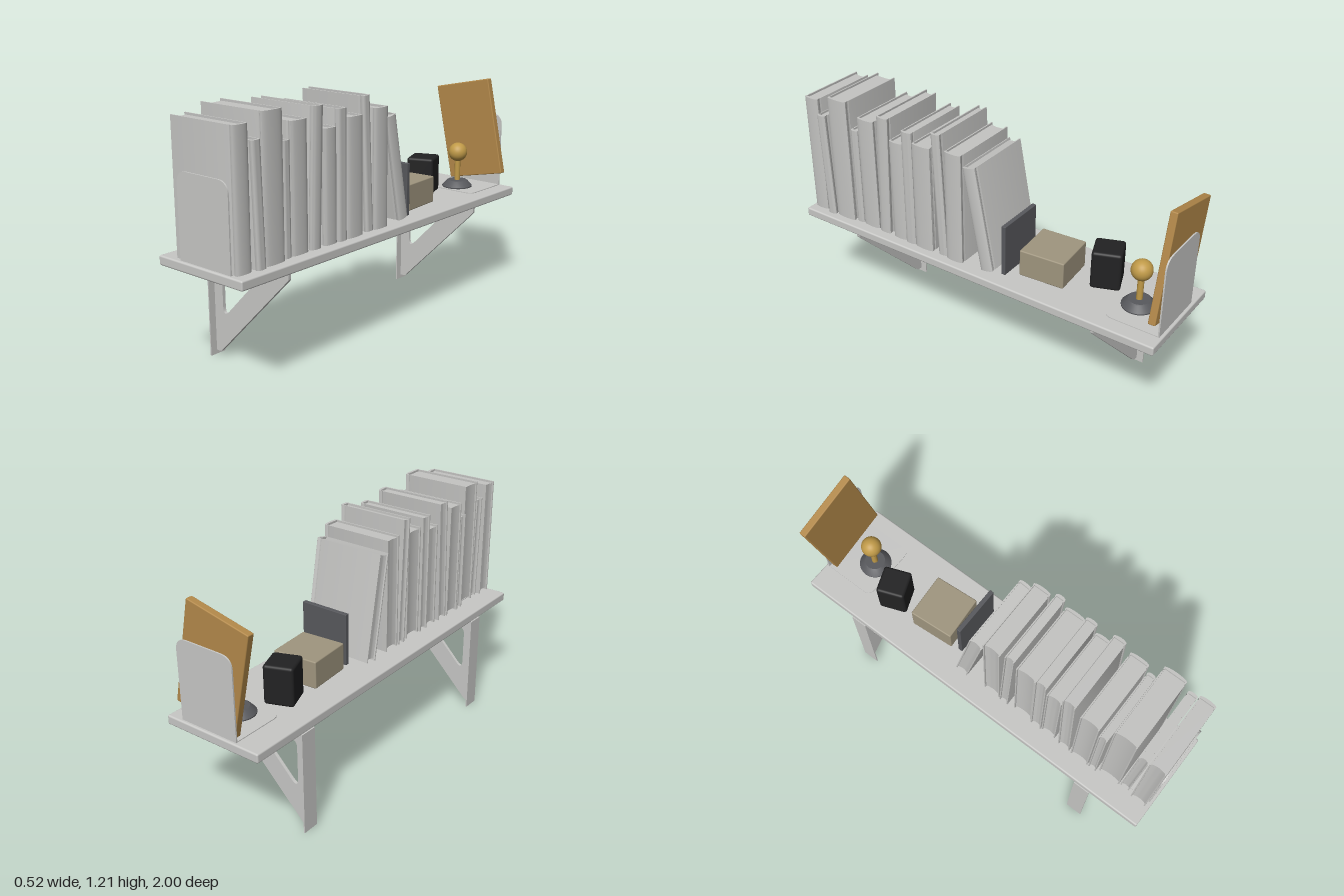
import * as THREE from 'three';
import { toCreasedNormals } from 'three/addons/utils/BufferGeometryUtils.js';
import { RoundedBoxGeometry } from 'three/addons/geometries/RoundedBoxGeometry.js';

const mat = (name, color) => Object.assign(new THREE.MeshStandardMaterial({ color }), { name });

// Traces a polygon of [x, y, cornerRadius] points with rounded corners
function roundedPoly(points, path = new THREE.Shape()) {
  const n = points.length;
  points.forEach(([x, y, r = 0], i) => {
    const p = new THREE.Vector2(x, y);
    const toward = ([qx, qy]) => new THREE.Vector2(qx, qy).sub(p).setLength(r).add(p);
    const a = toward(points[(i + n - 1) % n]);
    const b = toward(points[(i + 1) % n]);
    if (i === 0) path.moveTo(a.x, a.y); else path.lineTo(a.x, a.y);
    if (r > 0) path.quadraticCurveTo(x, y, b.x, b.y);
  });
  path.closePath();
  return path;
}

function extrude(shape, depth) {
  const geo = new THREE.ExtrudeGeometry(shape, { depth, bevelEnabled: false, curveSegments: 8 });
  return toCreasedNormals(geo, 0.6);
}

export function createModel() {
  const model = new THREE.Group();
  model.name = 'bookshelf';
  const shelfGrey = mat('shelf grey', 0xc8c8c6);
  const bookGrey = mat('book grey', 0xc4c4c2);
  const darkGrey = mat('dark grey', 0x58595d);
  const black = mat('black', 0x222223);
  const wood = mat('wood', 0xb3894a);
  const brass = mat('brass', 0xc09a48);
  const beige = mat('beige', 0xa0967f);

  function add(parent, name, geo, material, x = 0, y = 0, z = 0) {
    const mesh = new THREE.Mesh(geo, material);
    mesh.name = name;
    mesh.position.set(x, y, z);
    parent.add(mesh);
    return mesh;
  }
  function group(name) {
    const g = new THREE.Group();
    g.name = name;
    model.add(g);
    return g;
  }

  // Board
  add(model, 'shelfBoard', new RoundedBoxGeometry(0.516, 0.045, 2, 2, 0.008), shelfGrey, 0.001, 0.5325, 0);

  // Triangular brackets: wall plate, top plate, pierced web, screws
  const web = roundedPoly([[-0.256, 0.02], [-0.225, 0.02, 0.01], [0.22, 0.468, 0.005], [0.22, 0.507], [-0.256, 0.507]]);
  web.holes.push(roundedPoly([[-0.2, 0.445, 0.035], [0.05, 0.445, 0.06], [-0.2, 0.19, 0.06]], new THREE.Path()));
  const webGeo = extrude(web, 0.016);
  const screwGeo = new THREE.SphereGeometry(0.01, 12, 6, 0, Math.PI * 2, 0, Math.PI / 2).scale(1, 0.7, 1);
  for (const z of [0.692, -0.684]) {
    const bracket = group('bracket');
    bracket.position.z = z;
    add(bracket, 'wallPlate', new THREE.BoxGeometry(0.006, 0.51, 0.085), shelfGrey, -0.257, 0.255, 0);
    add(bracket, 'topPlate', new THREE.BoxGeometry(0.488, 0.006, 0.085), shelfGrey, -0.016, 0.507, 0);
    add(bracket, 'web', webGeo, shelfGrey, 0, 0, -0.008);
    for (const [y, dz] of [[0.405, 0.026], [0.075, -0.025]])
      add(bracket, 'wallScrew', screwGeo, shelfGrey, -0.254, y, dz).rotation.z = -Math.PI / 2;
    for (const [x, dz] of [[0.165, 0.026], [-0.15, -0.025]])
      add(bracket, 'topScrew', screwGeo, shelfGrey, x, 0.504, dz).rotation.x = Math.PI;
  }

  // Bookends: upright plate and foot, mirrored at both ends of the board
  const uprightGeo = extrude(roundedPoly([[-0.13, 0.555], [0.18, 0.555], [0.18, 0.945, 0.06], [-0.13, 0.945, 0.06]]), 0.007);
  const footShape = (s) => roundedPoly([[-0.13, -s * 0.985], [0.18, -s * 0.985], [0.18, -s * 0.715, 0.04], [-0.13, -s * 0.715, 0.04]]);
  for (const s of [1, -1]) {
    const bookend = group('bookend');
    add(bookend, 'upright', uprightGeo, shelfGrey, 0, 0, s > 0 ? 0.979 : -0.986);
    add(bookend, 'foot', extrude(footShape(s), 0.004).rotateX(-Math.PI / 2), shelfGrey, 0, 0.555, 0);
  }

  // Book: wrapped cover with rounded spine and hinge grooves, inset page block
  function addBook(z, thick, top, x0, x1, lean) {
    const book = group('book');
    const h = (top - 0.558) / Math.cos(lean) - Math.abs(Math.tan(lean)) * thick * 0.5;
    const w = x1 - x0, t = thick / 2, c = 0.006, in_ = t - c;
    const cover = new THREE.Shape();
    cover.moveTo(0, -t);
    cover.lineTo(w - 0.034, -t);
    cover.quadraticCurveTo(w - 0.027, -t + 0.006, w - 0.02, -t);
    cover.lineTo(w - 0.01, -t);
    cover.bezierCurveTo(w + 0.001, -t * 0.8, w + 0.001, t * 0.8, w - 0.01, t);
    cover.lineTo(w - 0.02, t);
    cover.quadraticCurveTo(w - 0.027, t - 0.006, w - 0.034, t);
    cover.lineTo(0, t);
    cover.lineTo(0, in_);
    cover.lineTo(w - 0.016, in_);
    cover.lineTo(w - 0.016, -in_);
    cover.lineTo(0, -in_);
    cover.closePath();
    add(book, 'cover', extrude(cover, h).rotateX(-Math.PI / 2), bookGrey);

    const pages = new THREE.Shape();
    pages.moveTo(0.008, -in_);
    pages.lineTo(w - 0.014, -in_);
    pages.lineTo(w - 0.014, in_);
    pages.lineTo(0.008, in_);
    pages.quadraticCurveTo(0.02, 0, 0.008, -in_);
    add(book, 'pages', extrude(pages, h - 0.02).rotateX(-Math.PI / 2), bookGrey, 0, 0.01, 0);

    book.position.set(x0, 0.558 + Math.abs(Math.sin(lean)) * t, z);
    book.rotation.x = lean;
  }
  // centre z at the foot, thickness, top height, back x, spine x, lean
  [
    [0.938, 0.080, 1.170, -0.160, 0.218, 0],
    [0.853, 0.048, 1.100, -0.145, 0.232, 0.03],
    [0.767, 0.112, 1.205, -0.150, 0.222, 0],
    [0.679, 0.042, 1.065, -0.165, 0.208, 0],
    [0.604, 0.096, 1.140, -0.165, 0.210, 0],
    [0.513, 0.064, 1.185, -0.163, 0.215, -0.034],
    [0.416, 0.077, 1.080, -0.155, 0.215, 0],
    [0.345, 0.058, 1.155, -0.160, 0.220, 0],
    [0.260, 0.101, 1.110, -0.150, 0.222, 0],
    [0.152, 0.048, 1.190, -0.160, 0.215, 0.043],
    [0.078, 0.090, 1.125, -0.155, 0.222, 0],
    [-0.102, 0.066, 1.075, -0.163, 0.212, 0.19],
  ].forEach((b) => addBook(...b));

  // Small objects
  add(model, 'darkPanel', new RoundedBoxGeometry(0.255, 0.26, 0.022, 2, 0.003), darkGrey, 0.048, 0.685, -0.176);
  add(model, 'beigeBox', new RoundedBoxGeometry(0.228, 0.135, 0.228, 2, 0.006), beige, 0.012, 0.623, -0.343)
    .rotation.y = 0.075;
  add(model, 'blackBlock', new RoundedBoxGeometry(0.14, 0.192, 0.14, 3, 0.014), black, -0.052, 0.653, -0.598)
    .rotation.y = 0.37;

  // Tilted wooden panel
  add(model, 'woodenPanel', new RoundedBoxGeometry(0.337, 0.513, 0.035, 2, 0.005), wood, -0.002, 0.848, -0.959)
    .rotation.z = 0.21;

  // Ball ornament on a round foot
  const ornament = group('ornament');
  ornament.position.set(0.025, 0.557, -0.805);
  const foot = [[0, 0], [0.079, 0], [0.08, 0.008], [0.056, 0.034], [0.05, 0.038], [0, 0.038]];
  const footGeo = new THREE.LatheGeometry(foot.map(([r, y]) => new THREE.Vector2(r, y)), 32);
  add(ornament, 'ornamentFoot', toCreasedNormals(footGeo, 0.5), darkGrey);
  add(ornament, 'ornamentStem', new THREE.CylinderGeometry(0.015, 0.015, 0.13, 20), brass, 0, 0.09, 0);
  add(ornament, 'ornamentBall', new THREE.SphereGeometry(0.05, 32, 20), brass, 0, 0.19, 0);

  return model;
}
